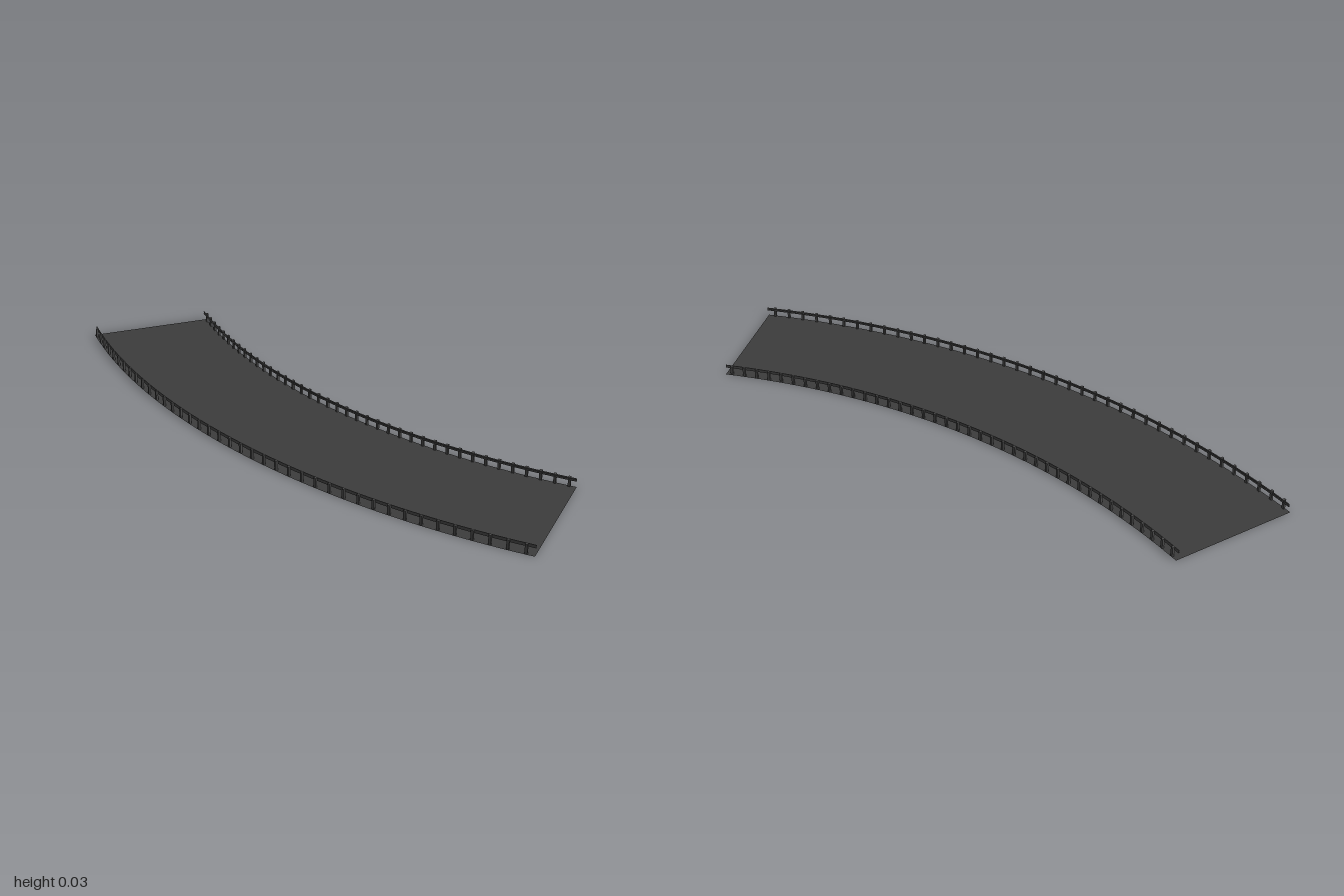
import * as THREE from 'three';

const CX = 2.322;                 // centre of the bend
const OUTER = 2.613, INNER = 2.2; // edge radii of the road
const SWEEP = Math.PI / 4;
const STEPS = 40;

const asphalt = new THREE.MeshStandardMaterial({ color: 0x3d3d3d, side: THREE.DoubleSide });
asphalt.name = 'asphalt';
const steel = new THREE.MeshStandardMaterial({ color: 0x4a4a4a, side: THREE.DoubleSide, flatShading: true });
steel.name = 'steel';

// Guard rail on one edge; inward is the radial direction towards the road
function guardRail(radius, inward, name) {
  const group = new THREE.Group();
  group.name = name;

  // Corrugated beam: [offset from the road edge, height]
  const section = [
    [0.007, 0.022], [0.0095, 0.0225], [0.0102, 0.0245], [0.0085, 0.027],
    [0.0102, 0.0295], [0.0095, 0.0315], [0.007, 0.032], [0.007, 0.022],
  ].map(([d, y]) => new THREE.Vector2(radius + inward * d, y));
  const start = Math.PI * 1.5 - SWEEP / 2;
  const beam = new THREE.Mesh(new THREE.LatheGeometry(section, STEPS, start, SWEEP), steel);
  beam.name = 'beam';
  group.add(beam);

  // Beam end caps
  const capGeometry = new THREE.ShapeGeometry(new THREE.Shape(section));
  for (const phi of [start, start + SWEEP]) {
    const cap = new THREE.Mesh(capGeometry, steel);
    cap.name = 'beamEnd';
    cap.rotation.y = phi - Math.PI / 2;
    group.add(cap);
  }

  // Posts behind the beam
  const postGeometry = new THREE.BoxGeometry(0.007, 0.032, 0.008);
  for (let i = 0; i < STEPS; i++) {
    const a = ((i + 0.5) / STEPS - 0.5) * SWEEP;
    const r = radius + inward * 0.0035;
    const post = new THREE.Mesh(postGeometry, steel);
    post.name = 'post';
    post.position.set(-r * Math.cos(a), 0.016, r * Math.sin(a));
    post.rotation.y = a;
    group.add(post);
  }
  return group;
}

export function createModel() {
  const model = new THREE.Group();
  model.name = 'curvedRoad';

  const bend = new THREE.Group();
  bend.name = 'bend';
  bend.position.x = CX;

  // Flat road surface
  const road = new THREE.Mesh(
    new THREE.RingGeometry(INNER, OUTER, STEPS, 1, Math.PI - SWEEP / 2, SWEEP), asphalt);
  road.name = 'roadSurface';
  road.rotation.x = -Math.PI / 2;

  bend.add(road, guardRail(OUTER, -1, 'outerGuardRail'), guardRail(INNER, 1, 'innerGuardRail'));
  model.add(bend);
  return model;
}
